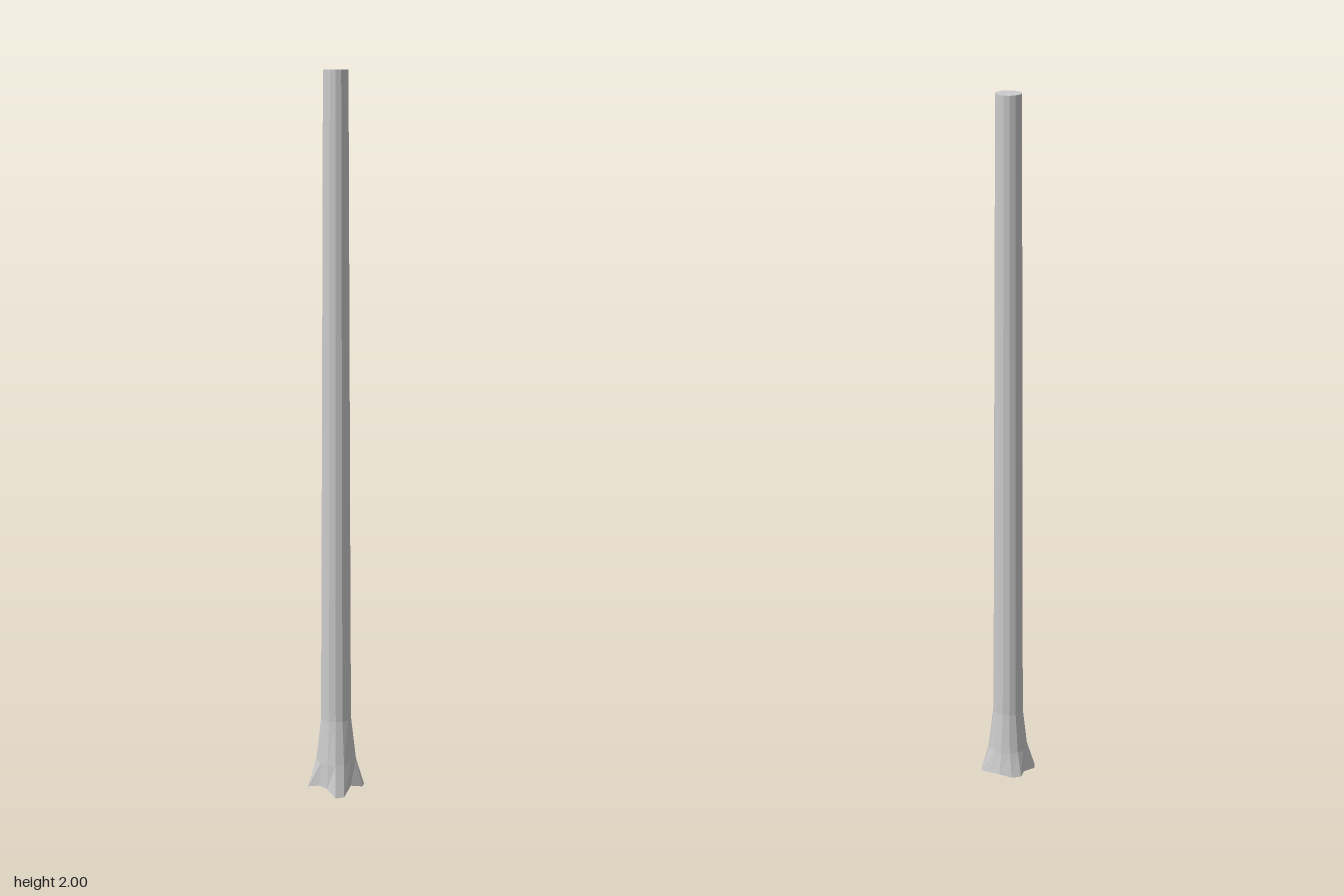
import * as THREE from 'three';

// Foot outline: four flared roots, as [x, y, z] around the trunk
const FOOT = [
  [0.08, 0.015, 0.002], [0.07, 0.015, 0.027], [0.033, 0.025, 0.043], [0.008, 0.002, 0.07],
  [-0.017, 0, 0.07], [-0.035, 0.02, 0.044], [-0.053, 0.023, 0.018], [-0.08, 0.015, -0.005],
  [-0.072, 0.015, -0.03], [-0.031, 0.026, -0.057], [-0.017, 0.02, -0.073], [0.01, 0.02, -0.071],
  [0.042, 0.026, -0.052], [0.062, 0.022, -0.026],
];
const SIDES = FOOT.length;

// Regular ring, leaning by `lobe` towards the foot outline
function ring(y, radius, z, lobe = 0) {
  return FOOT.map(([fx, , fz], i) => {
    const a = (i / SIDES) * Math.PI * 2;
    return [
      THREE.MathUtils.lerp(Math.cos(a) * radius, fx, lobe), y,
      THREE.MathUtils.lerp(z + Math.sin(a) * radius, fz, lobe),
    ];
  });
}

// Skin closed rings, ordered bottom to top
function loft(rings) {
  const index = [];
  const n = SIDES;
  for (let r = 0; r < rings.length - 1; r++) {
    for (let i = 0; i < n; i++) {
      const a = r * n + i, b = r * n + ((i + 1) % n);
      index.push(a, a + n, b, b, a + n, b + n);
    }
  }
  // Fan caps at both ends
  const last = (rings.length - 1) * n, bottom = rings.length * n, top = bottom + 1;
  for (let i = 0; i < n; i++) {
    const j = (i + 1) % n;
    index.push(bottom, i, j, top, last + j, last + i);
  }
  const points = [...rings.flat(), [0, 0.025, 0], [0, 2, -0.006]];
  const geometry = new THREE.BufferGeometry();
  geometry.setAttribute('position', new THREE.Float32BufferAttribute(points.flat(), 3));
  geometry.setIndex(index);
  const flat = geometry.toNonIndexed();
  flat.computeVertexNormals();
  return flat;
}

export function createModel() {
  const group = new THREE.Group();
  group.name = 'treeTrunk';
  const material = new THREE.MeshStandardMaterial({ color: 0xcccccc, flatShading: true });

  // Trunk tapering up from the root flare
  const trunk = new THREE.Mesh(loft([
    FOOT,
    ring(0.09, 0.053, -0.001, 0.15),
    ring(0.21, 0.043, -0.002),
    ring(0.6, 0.041, -0.003),
    ring(1.3, 0.038, -0.004),
    ring(2, 0.035, -0.006),
  ]), material);
  trunk.name = 'trunk';
  group.add(trunk);
  return group;
}
